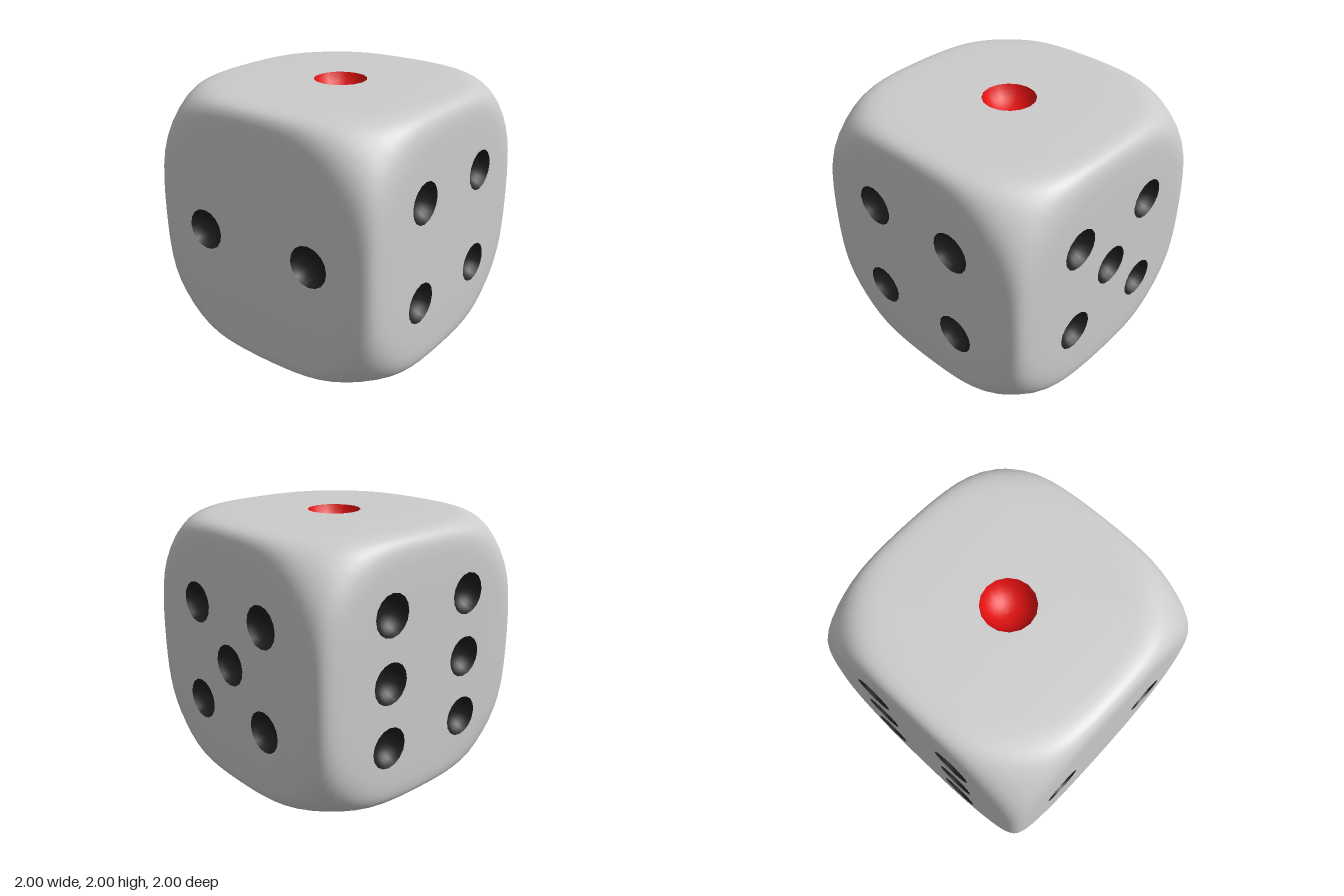
import * as THREE from 'three';
import { mergeGeometries } from 'three/addons/utils/BufferGeometryUtils.js';

const SEGMENTS = 64, RINGS = 14, PANEL = 0.8, PIP_SIDES = 16;
const CUBE_POWER = 20, BALL_POWER = 30, BALL_RADIUS = 1.45;

// Soft intersection of a cube and a ball: the surface is where this equals 1
function field(p) {
  return Math.abs(p.x) ** CUBE_POWER + Math.abs(p.y) ** CUBE_POWER + Math.abs(p.z) ** CUBE_POWER
    + (p.length() / BALL_RADIUS) ** BALL_POWER;
}

// Slide a point along its ray from the centre onto the surface
function project(p) {
  const dir = p.clone().normalize(), q = new THREE.Vector3();
  let low = 0.5, high = 2;
  for (let i = 0; i < 36; i++) {
    const mid = (low + high) / 2;
    if (field(q.copy(dir).multiplyScalar(mid)) < 1) low = mid; else high = mid;
  }
  return dir.multiplyScalar(low);
}

function surfaceNormal(p) {
  const ball = BALL_POWER * p.length() ** (BALL_POWER - 2) / BALL_RADIUS ** BALL_POWER;
  const slope = c => CUBE_POWER * Math.sign(c) * Math.abs(c) ** (CUBE_POWER - 1) + ball * c;
  return new THREE.Vector3(slope(p.x), slope(p.y), slope(p.z)).normalize();
}

function circle(x, y, r, n) {
  return Array.from({ length: n }, (_, i) => {
    const a = i / n * Math.PI * 2;
    return new THREE.Vector2(x + r * Math.cos(a), y + r * Math.sin(a));
  });
}

// One side of the body: a pierced round panel plus rings out to the cube edges
function faceGeometry(pips, radius) {
  const shape = new THREE.Shape(circle(0, 0, PANEL, SEGMENTS));
  for (const [x, y] of pips) shape.holes.push(new THREE.Path(circle(x, y, radius, PIP_SIDES)));
  const panel = new THREE.ShapeGeometry(shape);
  panel.deleteAttribute('uv');
  panel.translate(0, 0, 1);

  const points = [], index = [];
  for (let j = 0; j <= RINGS; j++) {
    for (let i = 0; i < SEGMENTS; i++) {
      const a = i / SEGMENTS * Math.PI * 2, c = Math.cos(a), s = Math.sin(a);
      const edge = 1 / Math.max(Math.abs(c), Math.abs(s));
      const r = THREE.MathUtils.lerp(PANEL, edge, j / RINGS);
      points.push(r * c, r * s, 1);
      if (j < RINGS) {
        const k = j * SEGMENTS + i, next = j * SEGMENTS + (i + 1) % SEGMENTS;
        index.push(k, k + SEGMENTS, next + SEGMENTS, k, next + SEGMENTS, next);
      }
    }
  }
  const border = new THREE.BufferGeometry();
  border.setAttribute('position', new THREE.Float32BufferAttribute(points, 3));
  border.setAttribute('normal', new THREE.Float32BufferAttribute(new Float32Array(points.length), 3));
  border.setIndex(index);

  const geometry = mergeGeometries([panel, border]);
  const { position, normal } = geometry.attributes;
  const p = new THREE.Vector3();
  for (let i = 0; i < position.count; i++) {
    const q = project(p.fromBufferAttribute(position, i));
    const n = surfaceNormal(q);
    position.setXYZ(i, q.x, q.y, q.z);
    normal.setXYZ(i, n.x, n.y, n.z);
  }
  return geometry;
}

// Hollow dish whose rim lies in the plane z = 0
function dishGeometry(radius) {
  const depth = radius * 0.75;
  const ball = (radius * radius + depth * depth) / (2 * depth);
  const reach = Math.asin(radius / ball);
  const profile = Array.from({ length: 9 }, (_, i) => {
    const a = reach * i / 8;
    return new THREE.Vector2(ball * Math.sin(a), ball - depth - ball * Math.cos(a));
  });
  return new THREE.LatheGeometry(profile, PIP_SIDES).rotateX(Math.PI / 2);
}

export function createModel() {
  const model = new THREE.Group();
  model.name = 'die';
  const bodyMaterial = new THREE.MeshStandardMaterial({ color: 0xcccccc });
  const black = new THREE.MeshStandardMaterial({ color: 0x1c1c1c, side: THREE.DoubleSide });
  const red = new THREE.MeshStandardMaterial({ color: 0xe01010, side: THREE.DoubleSide });

  // Pip layouts, with each side's own right and up directions
  const d = 0.385, w = 0.483;
  const four = [[-d, -d], [d, -d], [-d, d], [d, d]];
  const sides = [
    { name: 'top', u: [1, 0, 0], v: [0, 0, -1], pips: [[0, 0]], radius: 0.2, material: red },
    { name: 'front', u: [1, 0, 0], v: [0, 1, 0], pips: [[-w, 0], [w, 0]] },
    { name: 'bottom', u: [1, 0, 0], v: [0, 0, 1], pips: [[d, -d], [0, 0], [-d, d]] },
    { name: 'left', u: [0, 0, -1], v: [0, 1, 0], pips: four },
    { name: 'back', u: [-1, 0, 0], v: [0, 1, 0], pips: [...four, [0, 0]] },
    { name: 'right', u: [0, 0, 1], v: [0, 1, 0], pips: [-w, 0, w].flatMap(y => [[-d, y], [d, y]]) },
  ];

  for (const { name, u, v, pips, radius = 0.155, material = black } of sides) {
    const side = new THREE.Group();
    side.name = name + 'Side';
    const right = new THREE.Vector3(...u), up = new THREE.Vector3(...v);
    const out = right.clone().cross(up);
    side.quaternion.setFromRotationMatrix(new THREE.Matrix4().makeBasis(right, up, out));
    side.position.y = 1;

    const face = new THREE.Mesh(faceGeometry(pips, radius), bodyMaterial);
    face.name = name + 'Face';
    side.add(face);

    const dish = dishGeometry(radius);
    pips.forEach(([x, y], i) => {
      const pip = new THREE.Mesh(dish, material);
      pip.name = name + 'Pip' + (i + 1);
      pip.position.set(x, y, 1);
      side.add(pip);
    });
    model.add(side);
  }
  return model;
}
